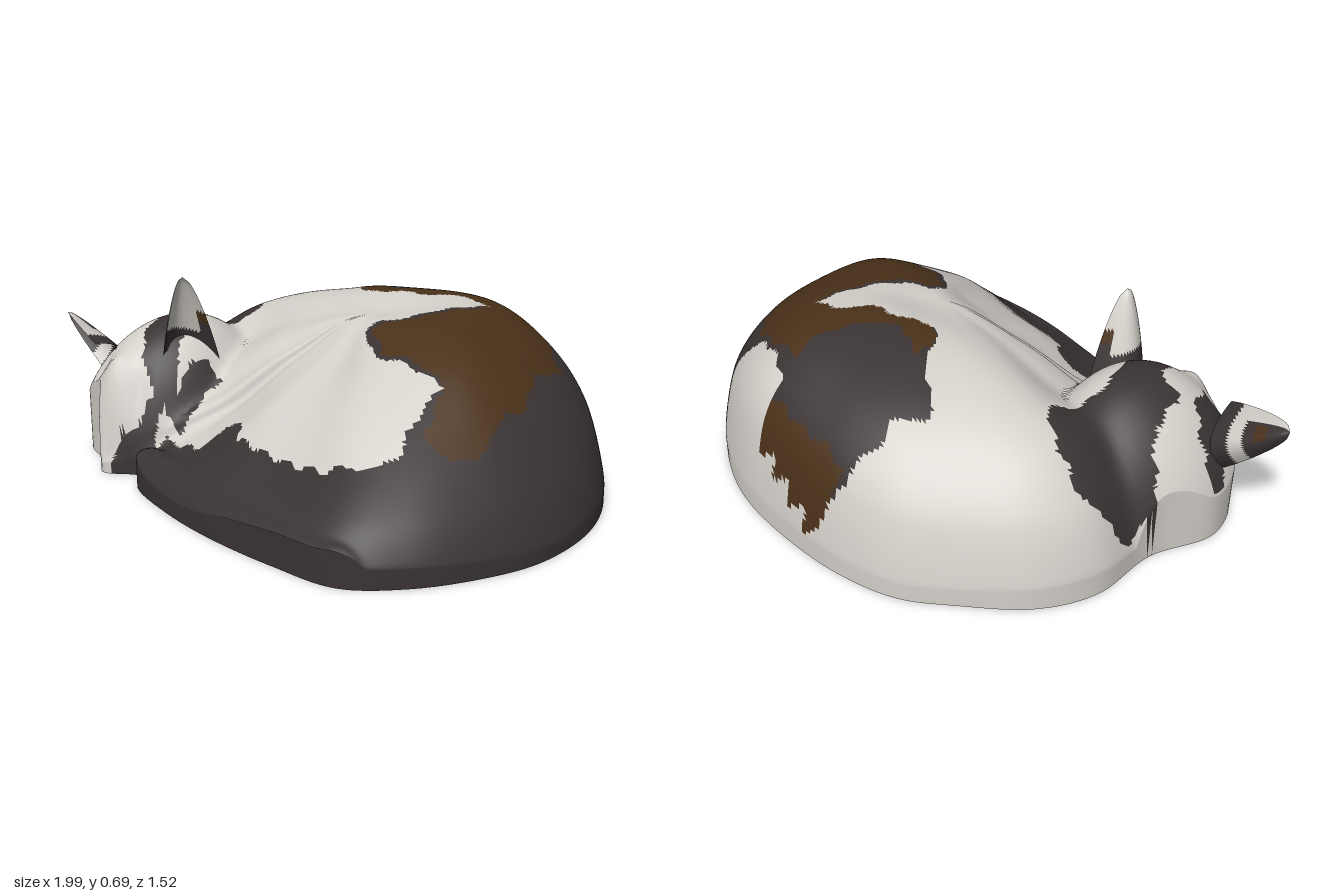
import * as THREE from 'three';

const white = new THREE.MeshStandardMaterial({ name: 'creamWhiteFur', color: 0xd3cfc9, side: THREE.DoubleSide });
const dark = new THREE.MeshStandardMaterial({ name: 'charcoalFur', color: 0x3a3334, side: THREE.DoubleSide });
const brown = new THREE.MeshStandardMaterial({ name: 'brownFur', color: 0x4a3119, side: THREE.DoubleSide });
const furs = [white, dark, brown];
const CX = 0.1; // centre of the polar shell

// Ground outline of the curled cat (x, z), from the rump round past tail tip, head and back
const outline = [[.99, .05], [.97, .25], [.9, .46], [.78, .62], [.55, .69], [.25, .74], [0, .75], [-.25, .725],
  [-.35, .665], [-.46, .755], [-.56, .7], [-.75, .66], [-.86, .5], [-.84, .25], [-.9, 0], [-.86, -.2], [-.72, -.41],
  [-.6, -.55], [-.4, -.66], [-.1, -.74], [.15, -.76], [.4, -.71], [.6, -.61], [.8, -.42], [.93, -.2]];

// Body heights from the centre to the rim, one row every 30 degrees from +x towards +z
const heights = [
  [.57, .57, .51, .36, .19, .04], [.57, .52, .42, .3, .18, .06], [.57, .45, .34, .21, .13, .06],
  [.57, .44, .32, .19, .12, .05], [.57, .43, .26, .15, .09, .04], [.57, .48, .34, .34, .17, .04],
  [.57, .56, .52, .45, .29, .08], [.57, .6, .55, .45, .29, .06], [.57, .61, .57, .48, .33, .07],
  [.57, .61, .59, .52, .37, .07], [.57, .6, .57, .47, .31, .06], [.57, .59, .53, .42, .25, .05]];

// Fur patches seen from above (x, z)
const brownPatches = [
  [[.05, -.55], [.2, -.57], [.4, -.55], [.47, -.48], [.6, -.4], [.65, -.25], [.75, -.1], [.77, .05], [.82, .1],
    [.8, .24], [.7, .25], [.63, .12], [.5, .11], [.36, .15], [.22, .08], [.2, .02], [.28, -.05], [.29, -.3],
    [.28, -.37], [.18, -.36], [.12, -.25], [0, -.2], [-.1, -.13], [-.2, -.18], [-.2, -.25], [-.05, -.22],
    [.05, -.35], [.08, -.5]],
  [[-.35, -.6], [-.33, -.68], [-.25, -.7], [0, -.725], [.02, -.66], [-.15, -.64], [-.28, -.6]],
];
const darkPatches = [
  // flank, hip, tail and saddle
  [[.42, -.66], [.47, -.9], [1.2, -.8], [1.2, 1], [-.35, 1], [-.36, .65], [-.3, .58], [-.1, .56], [-.05, .47],
    [.05, .48], [.1, .53], [.35, .52], [.55, .5], [.69, .42], [.7, .35], [.65, .25], [.62, .12], [.5, .13],
    [.35, .17], [.2, .1], [.17, .03], [.25, -.05], [.27, -.2], [.28, -.37], [.18, -.36], [.12, -.25], [0, -.22],
    [-.12, -.13], [-.2, -.18], [-.25, -.25], [-.4, -.3], [-.43, -.35], [-.37, -.42], [-.4, -.5], [-.37, -.6],
    [-.3, -.69], [0, -.71], [.03, -.62], [.1, -.6], [.25, -.58], [.4, -.62]],
  // nape and crown
  [[-.86, .08], [-.8, -.02], [-.68, -.03], [-.55, .02], [-.53, .25], [-.5, .35], [-.4, .45], [-.33, .52],
    [-.33, .6], [-.45, .6], [-.52, .53], [-.57, .46], [-.68, .45], [-.72, .32], [-.84, .25]],
  [[-.87, .47], [-.77, .47], [-.68, .52], [-.62, .6], [-.69, .65], [-.78, .61]],
  [[-.35, .38], [-.3, .36], [-.26, .55], [-.33, .57]],
  [[-.42, .71], [-.36, .6], [-.33, .58], [-.33, .8], [-.42, .85]],
];

function inside(poly, x, z) {
  let hit = false;
  poly.forEach(([ax, az], i) => {
    const [bx, bz] = poly[(i + 1) % poly.length];
    if ((az > z) !== (bz > z) && x < ax + (bx - ax) * (z - az) / (bz - az)) hit = !hit;
  });
  return hit;
}

// Fur colour at a point, with a slightly ragged border
function bodyFur(x, y, z) {
  const px = x + .008 * Math.sin(47 * z + 20 * x), pz = z + .008 * Math.sin(53 * x + 31 * y);
  if (brownPatches.some(p => inside(p, px, pz))) return 2;
  return darkPatches.some(p => inside(p, px, pz)) ? 1 : 0;
}

const catmull = (a, b, c, d, t) =>
  b + .5 * t * (c - a + t * (2 * a - 5 * b + 4 * c - d + t * (3 * (b - c) + d - a)));
const smoothMax = (a, b, k) => {
  const h = Math.max(k - Math.abs(a - b), 0) / k;
  return Math.max(a, b) + h * h * k / 4;
};
const bump = (x, z, cx, cz, r) => Math.exp(-((x - cx) ** 2 + (z - cz) ** 2) / (r * r));

// Smooth lookup in the height table
function bodyHeight(angle, t) {
  const a = ((angle / (Math.PI / 6)) + 12) % 12, i = Math.floor(a), s = t * 5, j = Math.min(4, Math.floor(s));
  const row = r => {
    const h = heights[(r + 12) % 12];
    return catmull(h[j ? j - 1 : 1], h[j], h[j + 1], h[Math.min(5, j + 2)], s - j);
  };
  return catmull(row(i - 1), row(i), row(i + 1), row(i + 2), a - i);
}

function surfaceHeight(x, z, t) {
  let y = bodyHeight(Math.atan2(z, x - CX), t);
  // head with muzzle and closed eye hollows
  const d = 1 - ((x + .58) / .32) ** 2 - ((z - .38) / .39) ** 2;
  if (d > 0) {
    const head = .5 * Math.sqrt(d) * (1 + .5 * (x + .58)) + .07 * bump(x, z, -.49, .69, .06)
      - .025 * bump(x, z, -.4, .63, .03) - .025 * bump(x, z, -.62, .66, .03);
    y = smoothMax(y, head, .05);
  }
  // tail wrapped along the front
  const tz = .665 - .35 * Math.max(0, x - .3) ** 2;
  const e = 1 - ((z - tz) / .095) ** 2 - (Math.max(0, -.26 - x, x - .75) / .1) ** 2;
  if (e > 0) y = smoothMax(y, .125 * Math.sqrt(e), .015);
  return Math.max(y, 0);
}

// Grid of points turned into a mesh whose triangles are grouped by fur colour
function furMesh(name, cols, rows, wrap, point, fur) {
  const pos = [], faces = [[], [], []], stride = rows + 1, n = wrap ? cols : cols + 1;
  for (let i = 0; i < n; i++) for (let j = 0; j <= rows; j++) pos.push(...point(i, j));
  const add = (a, b, c) => {
    const m = k => (pos[3 * a + k] + pos[3 * b + k] + pos[3 * c + k]) / 3;
    faces[fur(m(0), m(1), m(2), a)].push(a, b, c);
  };
  for (let i = 0; i < cols; i++) for (let j = 0; j < rows; j++) {
    const a = i * stride + j, c = ((i + 1) % n) * stride + j;
    if (!wrap || j) add(a, c, a + 1);
    add(c, c + 1, a + 1);
  }
  const geo = new THREE.BufferGeometry();
  geo.setAttribute('position', new THREE.Float32BufferAttribute(pos, 3));
  geo.setIndex(faces.flat());
  let start = 0;
  faces.forEach((f, k) => { geo.addGroup(start, f.length, k); start += f.length; });
  geo.computeVertexNormals();
  const mesh = new THREE.Mesh(geo, furs);
  mesh.name = name;
  return mesh;
}

// Cupped ear: tapering curved sections from base to tip
function ear(name, base, tip, width, open, fur) {
  const B = new THREE.Vector3(...base), T = new THREE.Vector3(...tip);
  const W = new THREE.Vector3(...width), O = new THREE.Vector3(...open), cols = 20, rows = 20;
  const point = (i, j) => {
    const v = i / cols, u = j / rows * 2 - 1, w = Math.sqrt(1 - v ** 1.5) * (1 - .3 * v);
    return B.clone().lerp(T, v).addScaledVector(W, u * w).addScaledVector(O, (u * u - .6) * w).toArray();
  };
  return furMesh(name, cols, rows, false, point, (x, y, z, a) =>
    fur((a % (rows + 1)) / rows * 2 - 1, Math.floor(a / (rows + 1)) / cols));
}

export function createModel() {
  const cat = new THREE.Group();
  cat.name = 'sleepingCat';

  // Open-bottomed shell: body, head and tail in one skin
  const cols = 280, rows = 68;
  const curve = new THREE.CatmullRomCurve3(outline.map(([x, z]) => new THREE.Vector3(x, 0, z)), true);
  const rim = curve.getSpacedPoints(cols);
  cat.add(furMesh('bodyHeadAndTail', cols, rows, true, (i, j) => {
    const t = Math.min(1, j / (rows - 1)), s = 1 - (1 - t) ** 1.6;
    const x = CX + (rim[i].x - CX) * s, z = rim[i].z * s;
    return [x, j === rows ? 0 : surfaceHeight(x, z, t), z];
  }, bodyFur));

  cat.add(ear('rightEar', [-.77, .32, .56], [-1, .455, .62], [.05, .085, .05], [.02, -.02, .09],
    (u, v) => (v > .55 && v < .75 && Math.abs(u) < .4 ? 2 : v > .4 && u < .6 ? 1 : v < .25 ? 1 : 0)));
  cat.add(ear('leftEar', [-.38, .4, .45], [-.335, .685, .48], [0, .02, .11], [.09, -.02, 0],
    (u, v) => (u < -.75 && v > .4 && v < .6 ? 2 : v < .28 || (Math.abs(u) > .75 && v < .5) ? 1 : 0)));
  return cat;
}
